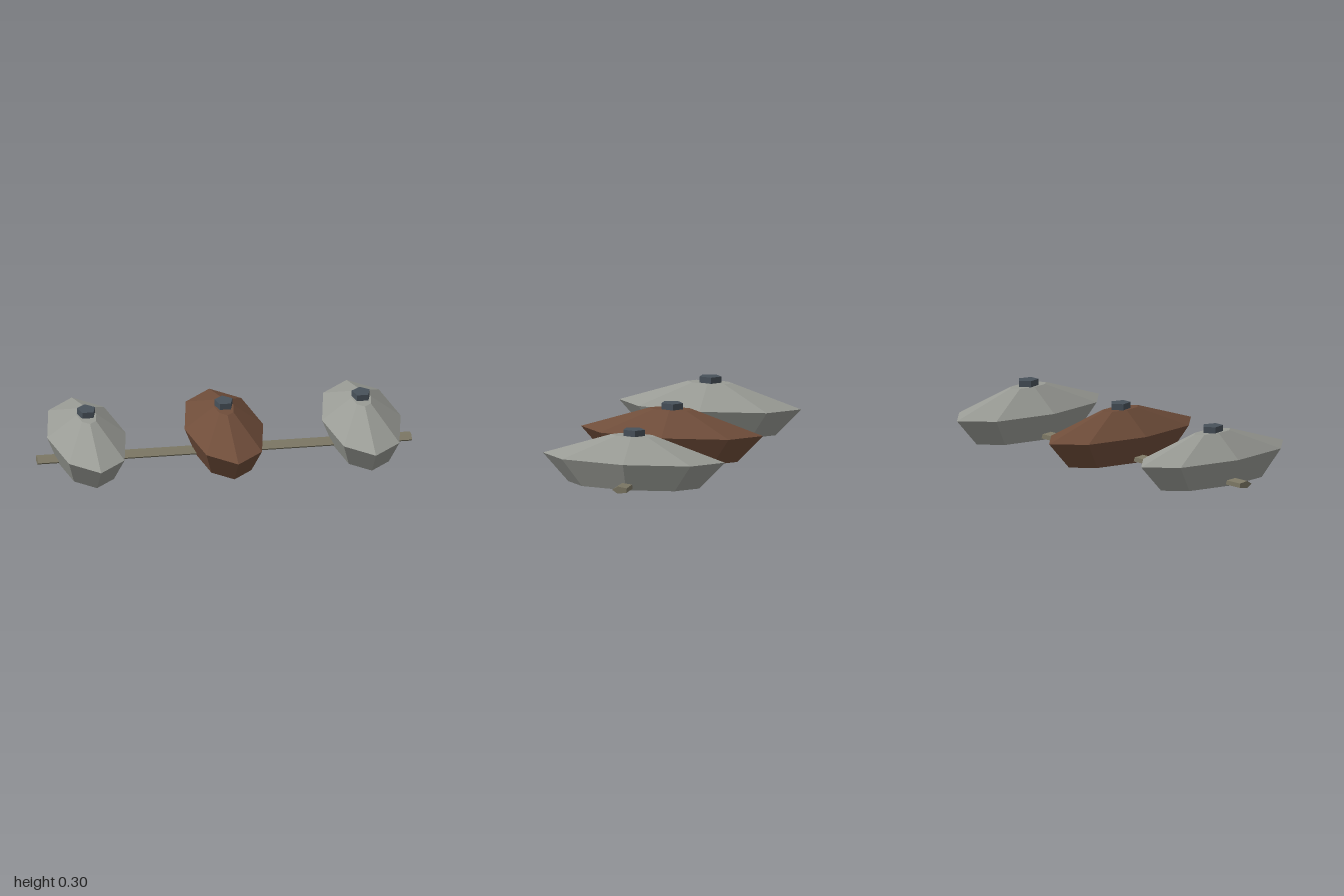
import * as THREE from 'three';

const material = (color) => new THREE.MeshStandardMaterial({ color, flatShading: true });

// Faceted frustum with separate x and z radii
function frustum(name, mat, rTop, rBottom, y0, y1, sides, xScale, open = false) {
  const geo = new THREE.CylinderGeometry(rTop, rBottom, y1 - y0, sides, 1, open);
  geo.scale(xScale, 1, 1).translate(0, (y0 + y1) / 2, 0);
  const mesh = new THREE.Mesh(geo, mat);
  mesh.name = name;
  return mesh;
}

export function createModel() {
  const group = new THREE.Group();
  const grey = material(0x999b95);
  const brown = material(0x6f4d3a);
  const dark = material(0x48515a);
  const wood = material(0x7d7865);

  // Three boat-shaped pods: flared hull, tapering deck and five-sided cap
  [[-0.735, grey, 'rightPod'], [0, brown, 'centrePod'], [0.735, grey, 'leftPod']].forEach(([x, mat, name]) => {
    const pod = new THREE.Group();
    pod.name = name;
    const hull = frustum('hull', mat, 0.5, 0.36, 0, 0.147, 8, 0.42);
    const deck = frustum('deck', mat, 0.125, 0.5, 0.147, 0.267, 8, 0.42);
    const cap = frustum('cap', dark, 0.061, 0.061, 0.266, 0.3, 5, 0.83);
    cap.rotation.y = Math.PI;
    pod.add(hull, deck, cap);
    pod.position.x = x;
    group.add(pod);
  });

  // Flattened five-sided rod running through the pods
  const rodGeo = new THREE.CylinderGeometry(0.0445, 0.0445, 2, 5);
  rodGeo.rotateZ(Math.PI / 2).scale(1, 0.46, 1).translate(0, 0.0225, 0);
  const rod = new THREE.Mesh(rodGeo, wood);
  rod.name = 'connectingRod';
  group.add(rod);

  return group;
}
